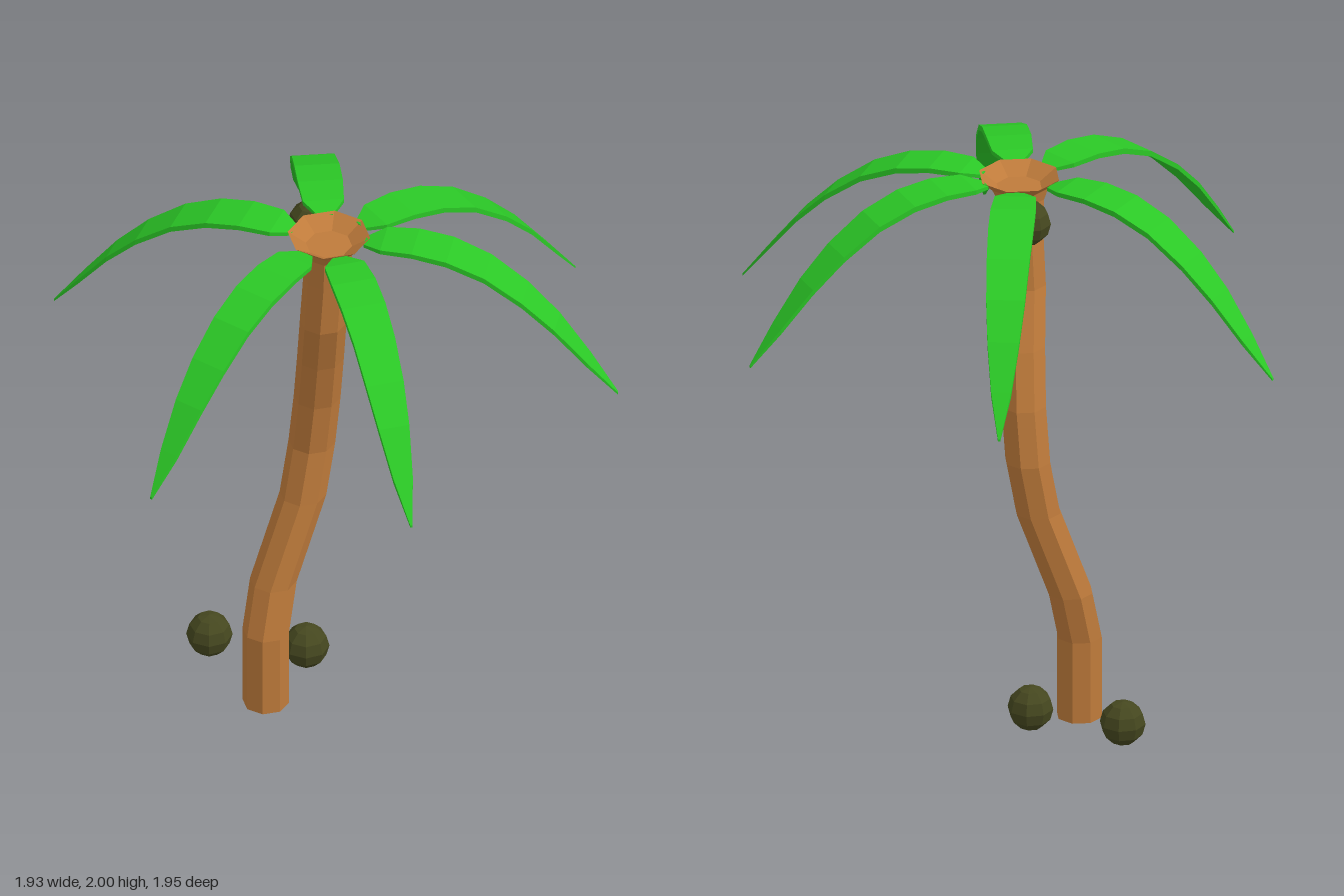
import * as THREE from 'three';

// Skin a list of rings (arrays of Vector3) and close both ends.
function loft(rings) {
  const n = rings[0].length, pos = [], idx = [];
  rings.forEach(r => r.forEach(p => pos.push(p.x, p.y, p.z)));
  const last = (rings.length - 1) * n;
  for (let i = 0; i < rings.length - 1; i++) {
    for (let j = 0; j < n; j++) {
      const a = i * n + j, b = i * n + (j + 1) % n;
      idx.push(a, a + n, b + n, a, b + n, b);
    }
  }
  for (let j = 1; j < n - 1; j++) {
    idx.push(0, j, j + 1, last, last + j + 1, last + j);
  }
  const g = new THREE.BufferGeometry();
  g.setAttribute('position', new THREE.Float32BufferAttribute(pos, 3));
  g.setIndex(idx);
  const flat = g.toNonIndexed();
  flat.computeVertexNormals();
  return flat;
}

const paint = color => new THREE.MeshStandardMaterial({ color, flatShading: true });

function add(parent, name, geometry, material) {
  const mesh = new THREE.Mesh(geometry, material);
  mesh.name = name;
  parent.add(mesh);
  return mesh;
}

export function createModel() {
  const model = new THREE.Group();
  model.name = 'palmTree';
  const bark = paint(0xbf7b3b), leaf = paint(0x2bc826), husk = paint(0x45471f);

  // Bent trunk: x, y, z, radius; flares into a shallow bowl at the top
  const sections = [
    [-0.235, 0, -0.02, 0.08], [-0.235, 0.3, -0.02, 0.08], [-0.21, 0.48, -0.06, 0.08],
    [-0.11, 0.8, -0.122, 0.08], [-0.08, 1.0, -0.148, 0.08], [-0.062, 1.2, -0.13, 0.08],
    [-0.05, 1.4, -0.08, 0.08], [-0.04, 1.6, -0.01, 0.08], [-0.028, 1.8, 0.006, 0.08],
    [-0.025, 1.91, 0.012, 0.085], [-0.02, 1.95, 0.02, 0.103], [-0.02, 1.985, 0.02, 0.142],
    [-0.02, 1.945, 0.02, 0.08],
  ];
  add(model, 'trunk', loft(sections.map(([x, y, z, r]) =>
    Array.from({ length: 8 }, (_, j) => {
      const a = (j / 8) * Math.PI * 2 + 0.12;
      return new THREE.Vector3(x + r * Math.cos(a), y, z + r * Math.sin(a));
    }))), bark);

  // Drooping frond: distance, height, half width, half thickness
  const frond = loft([
    [0.125, 1.972, 0.025, 0.006], [0.19, 1.986, 0.07, 0.008], [0.3, 1.988, 0.077, 0.009],
    [0.42, 1.968, 0.077, 0.01], [0.55, 1.915, 0.073, 0.01], [0.68, 1.822, 0.066, 0.01],
    [0.79, 1.715, 0.054, 0.01], [0.9, 1.58, 0.034, 0.009], [1.0, 1.455, 0.004, 0.004],
  ].map(([x, y, w, t]) => [[w, -t], [w, t], [-w, t], [-w, -t]]
    .map(([dz, dy]) => new THREE.Vector3(x, y + dy, dz))));
  const fronds = new THREE.Group();
  fronds.name = 'fronds';
  fronds.position.set(-0.02, 0, 0.02);
  model.add(fronds);
  for (const deg of [-96.3, -34, 9.9, 73, 126.5, 200.2]) {
    add(fronds, 'frond', frond, leaf).rotation.y = -THREE.MathUtils.degToRad(deg);
  }

  // Coconuts: two near the ground, one under the crown
  const nut = new THREE.SphereGeometry(0.079, 8, 6);
  for (const p of [[-0.43, 0.1, -0.27], [-0.1, 0.1, -0.207], [-0.085, 1.9, -0.17]]) {
    add(model, 'coconut', nut, husk).position.set(...p);
  }
  return model;
}
